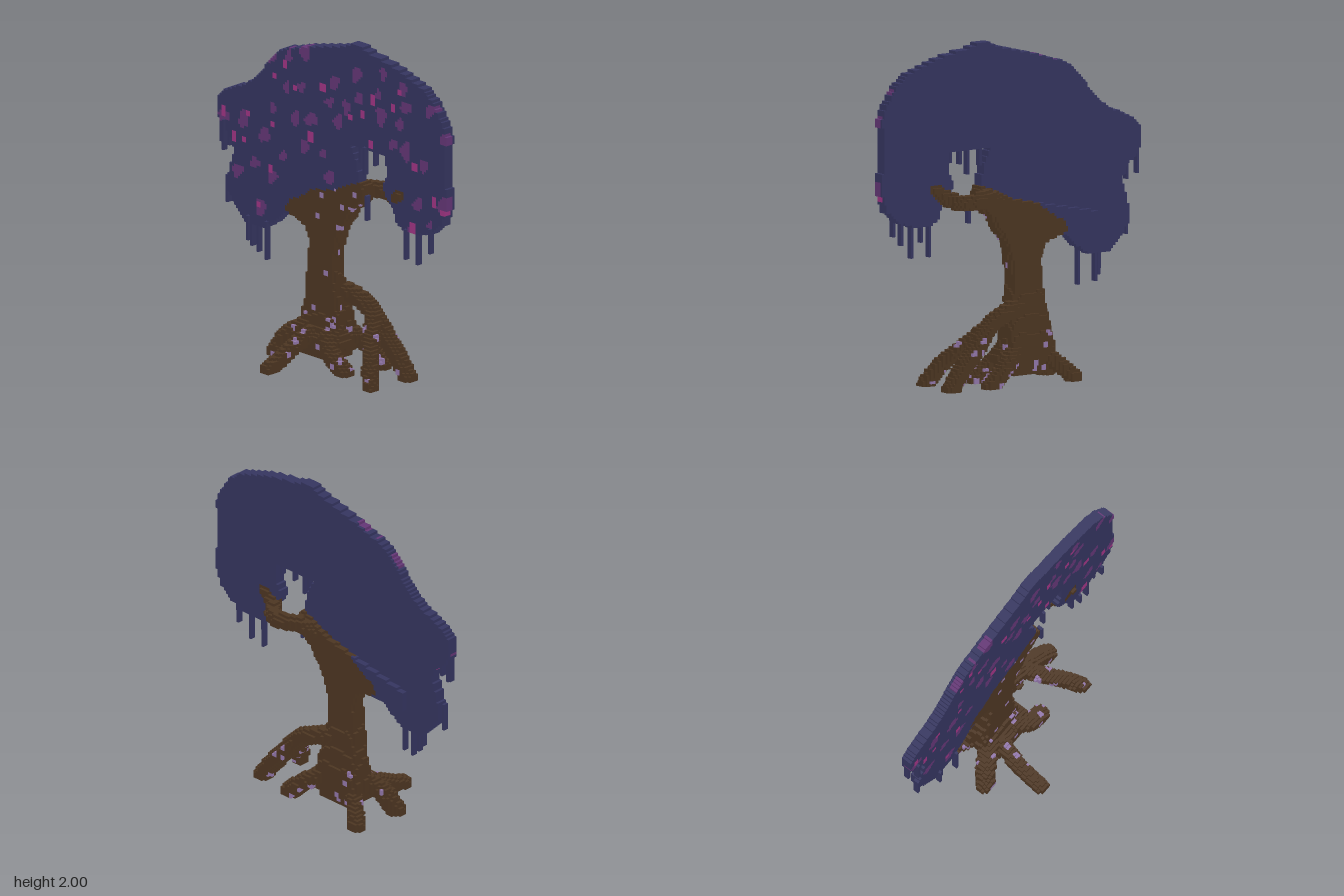
import * as THREE from 'three';

const H = 1 / 60; // edge of one cube

const COLORS = { leafNavy: 0x353560, leafPurple: 0x643676, blossomMagenta: 0xa03484, barkBrown: 0x4d3622, lichenLilac: 0x9478ac };

// Canopy silhouette, x and y
const OUTLINE = [
  [-.94, 1.4], [-.9, 1.45], [-.8, 1.5], [-.7, 1.54], [-.6, 1.62], [-.5, 1.75], [-.4, 1.83], [-.3, 1.86], [-.2, 1.89],
  [0, 1.94], [.1, 1.97], [.17, 2], [.22, 2], [.3, 1.975], [.45, 1.95], [.6, 1.91], [.75, 1.86], [.83, 1.79], [.9, 1.68], [.935, 1.6],
  [.91, 1.5], [.92, 1.35], [.935, 1.2], [.9, 1.08], [.8, 1.0], [.7, .97], [.6, .96], [.52, 1.0], [.5, 1.08], [.43, 1.15],
  [.42, 1.2], [.45, 1.28], [.45, 1.38], [.15, 1.38], [.2, 1.28], [.22, 1.15], [.1, 1.0], [-.1, .93], [-.25, .87],
  [-.4, .83], [-.48, .75], [-.56, .7], [-.7, .7], [-.8, .79], [-.86, .88], [-.83, 1.02], [-.8, 1.1], [-.83, 1.2], [-.92, 1.25],
];

// Leaf patches: x, y, radius
const PATCHES = [
  [-.5, 1.77, .06], [-.35, 1.8, .04], [-.22, 1.86, .06], [.02, 1.73, .05], [.2, 1.82, .055], [.42, 1.88, .04], [.58, 1.83, .045],
  [.22, 1.68, .04], [.38, 1.74, .035], [.6, 1.72, .05], [.8, 1.75, .045], [.4, 1.62, .06], [.12, 1.6, .045], [-.02, 1.6, .04],
  [-.25, 1.63, .035], [-.37, 1.6, .04], [-.3, 1.43, .05], [-.17, 1.46, .055], [-.55, 1.27, .055], [-.72, 1.32, .055],
  [-.88, 1.3, .05], [-.77, 1, .05], [-.63, 1.08, .04], [-.48, 1.03, .045], [-.58, .82, .055], [-.22, 1.28, .045],
  [-.02, 1.14, .05], [.05, 1.5, .05], [.6, 1.45, .06], [.75, 1.4, .045], [.92, 1.6, .045], [.91, 1.2, .055], [.7, 1.15, .045],
  [.55, 1.6, .04], [.65, .98, .05], [.5, 1.47, .04], [-.07, 1.27, .03], [-.4, 1.18, .035], [-.48, 1.45, .035], [.8, 1.05, .03],
];

// Small blossoms: x, y
const BLOSSOMS = [
  [-.47, 1.65], [-.3, 1.62], [-.38, 1.74], [.55, 1.8], [.34, 1.7], [.25, 1.59], [.15, 1.55], [.32, 1.43], [.5, 1.69],
  [-.5, 1.08], [-.68, 1.37], [-.88, 1.33], [-.8, 1.2], [-.6, .84], [-.17, 1.35], [-.72, 1.2], [.84, 1.2], [.9, 1.15],
  [.66, 1], [-.48, 1.35], [.68, 1.38], [-.07, 1.68],
];

// Hanging strands: x, top, bottom
const STRANDS = [
  [-.68, .74, .6], [-.66, .74, .57], [-.62, .72, .54], [-.52, .75, .52], [-.86, .95, .78], [-.92, 1.3, 1.13], [-.88, 1.28, 1.1],
  [-.85, 1.24, 1.14], [.58, 1, .79], [.61, .98, .87], [.69, .99, .79], [.77, 1.01, .86], [.81, 1.03, .92], [.27, 1.1, .95],
  [.21, 1.4, 1.29], [.28, 1.4, 1.24], [.34, 1.4, 1.3], [.43, 1.4, 1.31],
];

// Trunk sections: y, right edge, left edge, back, front
const TRUNK = [
  [.05, -.2, .04, -.2, 0], [.15, -.26, .1, -.22, 0], [.22, -.26, .06, -.22, -.05], [.35, -.24, .04, -.2, -.067],
  [.45, -.22, .02, -.18, -.067], [.6, -.2, 0, -.167, -.067], [.72, -.2, .02, -.167, -.067], [.8, -.23, .04, -.167, -.067],
  [.86, -.41, .07, -.167, -.067], [.92, -.37, .12, -.167, -.067], [.98, -.25, .15, -.167, -.067], [1.03, -.19, .22, -.167, -.067],
  [1.07, 0, .25, -.167, -.067], [1.12, .1, .25, -.167, -.067], [1.16, .2, .24, -.15, -.067],
];

// Roots and branch: name, radius, path
const LIMBS = [
  ['rightRoot', .055, [[-.2, .2, -.08], [-.3, .13, -.02], [-.36, .02, .02]]],
  ['frontRoot', .045, [[-.14, .18, -.05], [-.17, .1, .1], [-.17, .05, .2], [-.17, .02, .28]]],
  ['leftRoot', .05, [[-.02, .17, -.05], [.08, .08, 0], [.17, .02, 0]]],
  ['backRightRoot', .045, [[-.18, .18, -.15], [-.27, .1, -.22], [-.34, .02, -.28]]],
  ['backLeftRoot', .05, [[0, .2, -.17], [.12, .12, -.24], [.23, .02, -.24]]],
  ['tallRoot', .05, [[-.05, .45, -.14], [.08, .42, -.18], [.2, .36, -.19], [.3, .24, -.2], [.4, .13, -.2], [.49, .01, -.2]]],
  ['forkedRoot', .045, [[.22, .34, -.18], [.32, .22, -.07], [.4, .12, .02], [.46, .01, .08]]],
  ['branch', .045, [[.1, 1.07, -.13], [.2, 1.1, -.18], [.3, 1.1, -.22], [.4, 1.09, -.2], [.47, 1.12, -.13], [.55, 1.17, -.1]]],
];

function hash(i, j, k) {
  const s = Math.sin(i * 12.9898 + j * 78.233 + k * 37.719) * 43758.5453;
  return s - Math.floor(s);
}

function insideOutline(x, y) {
  let inside = false;
  OUTLINE.forEach(([x1, y1], n) => {
    const [x2, y2] = OUTLINE[(n + 1) % OUTLINE.length];
    if ((y1 > y) !== (y2 > y) && x < x1 + (y - y1) / (y2 - y1) * (x2 - x1)) inside = !inside;
  });
  return inside;
}

// Tilted, wobbly ellipses for patches and small squares for blossoms
function leafColor(x, y) {
  for (let n = 0; n < BLOSSOMS.length; n++) {
    const [bx, by] = BLOSSOMS[n];
    if (Math.abs(x - bx) < .014 + .01 * hash(n, 1, 0) && Math.abs(y - by) < .014 + .016 * hash(n, 2, 0)) return 'blossomMagenta';
  }
  for (let n = 0; n < PATCHES.length; n++) {
    const [px, py, r] = PATCHES[n], a = .3 + hash(n, 5, 3) * 1.4;
    const u = (x - px) * Math.cos(a) + (y - py) * Math.sin(a), v = (y - py) * Math.cos(a) - (x - px) * Math.sin(a);
    const wobble = 1 + .15 * Math.sin(3 * Math.atan2(v, u) + n);
    if (Math.hypot(u, v * 1.45) < r * wobble) return 'leafPurple';
  }
  return 'leafNavy';
}

function barkColor(i, j, k) {
  const fleckable = k > -8 || j < 18;
  return fleckable && hash(Math.floor(i / 2), Math.floor(j / 2), Math.floor(k / 2)) > .94 ? 'lichenLilac' : 'barkBrown';
}

export function createModel() {
  const cells = new Map();
  const key = (i, j, k) => i + ',' + j + ',' + k;
  const put = (part, i, j, k, color) => {
    const id = key(i, j, k);
    if (j >= 0 && !cells.has(id)) cells.set(id, { part, color, at: [i, j, k] });
  };

  // Trunk with flaring crown and foot
  for (let j = 3; j < 70; j++) {
    const y = (j + .5) * H, n = TRUNK.findIndex((row) => row[0] > y);
    if (n < 1) continue;
    const a = TRUNK[n - 1], b = TRUNK[n], t = (y - a[0]) / (b[0] - a[0]);
    const [, x0, x1, z0, z1] = a.map((v, m) => v + (b[m] - v) * t);
    for (let i = -26; i < 20; i++) for (let k = -15; k < 4; k++) {
      const u = ((i + .5) * H - (x0 + x1) / 2) / ((x1 - x0) / 2), w = ((k + .5) * H - (z0 + z1) / 2) / ((z1 - z0) / 2);
      const bump = .85 + .4 * hash(Math.floor(i / 3), Math.floor(j / 4), Math.floor(k / 2));
      if (u ** 6 + w ** 6 < bump) put('trunk', i, j, k, barkColor(i, j, k));
    }
  }

  // Roots and branch, balls swept along curves
  for (const [name, r, path] of LIMBS) {
    const curve = new THREE.CatmullRomCurve3(path.map((p) => new THREE.Vector3(...p)));
    for (const p of curve.getSpacedPoints(40)) {
      const c = [p.x, p.y, p.z].map((v) => Math.floor(v / H));
      for (let i = c[0] - 4; i <= c[0] + 4; i++) for (let j = c[1] - 4; j <= c[1] + 4; j++) for (let k = c[2] - 4; k <= c[2] + 4; k++) {
        if (Math.hypot((i + .5) * H - p.x, (j + .5) * H - p.y, (k + .5) * H - p.z) < r) put(name, i, j, k, barkColor(i, j, k));
      }
    }
  }

  // Flat canopy, plain at the back, with a low ledge behind
  for (let i = -57; i < 57; i++) for (let j = 40; j < 120; j++) {
    const x = (i + .5) * H, y = (j + .5) * H;
    if (!insideOutline(x, y)) continue;
    const color = leafColor(x, y);
    const ledge = x > -.6 && x < 0 && y < .95 + (x + .6) * .2 && y > .83;
    for (let k = ledge ? -10 : -8; k < -4; k++) put('canopy', i, j, k, k > -8 ? color : 'leafNavy');
  }

  // Hanging strands
  STRANDS.forEach(([x, top, bottom], n) => {
    const i = Math.floor(x / H), k = -4 - (n % 3);
    for (let j = Math.round(bottom / H); j < top / H; j++) {
      for (const d of [0, -1]) put('strands', i, j, k + d, 'leafNavy');
    }
  });

  // Outer faces of the cubes, sorted by part and colour
  const faces = {};
  for (const { part, color, at } of cells.values()) {
    const list = ((faces[part] ??= {})[color] ??= []);
    for (let axis = 0; axis < 3; axis++) for (const side of [1, -1]) {
      const next = [...at];
      next[axis] += side;
      if (cells.has(key(...next))) continue;
      const quad = [[0, 0], [1, 0], [1, 1], [0, 1]].map(([u, v]) => {
        const p = [...at];
        p[axis] += side > 0 ? 1 : 0;
        p[(axis + 1) % 3] += u;
        p[(axis + 2) % 3] += v;
        return p.map((c) => c * H);
      });
      if (side < 0) quad.reverse();
      for (const n of [0, 1, 2, 0, 2, 3]) list.push(...quad[n]);
    }
  }

  const materials = {};
  for (const [name, color] of Object.entries(COLORS)) {
    materials[name] = new THREE.MeshStandardMaterial({ color });
    materials[name].name = name;
  }
  const tree = new THREE.Group();
  tree.name = 'tree';
  for (const [part, byColor] of Object.entries(faces)) {
    const group = new THREE.Group();
    group.name = part;
    for (const [color, positions] of Object.entries(byColor)) {
      if (!positions.length) continue;
      const geometry = new THREE.BufferGeometry();
      geometry.setAttribute('position', new THREE.Float32BufferAttribute(positions, 3));
      geometry.computeVertexNormals();
      const mesh = new THREE.Mesh(geometry, materials[color]);
      mesh.name = part + ' ' + color;
      group.add(mesh);
    }
    tree.add(group);
  }
  return tree;
}
